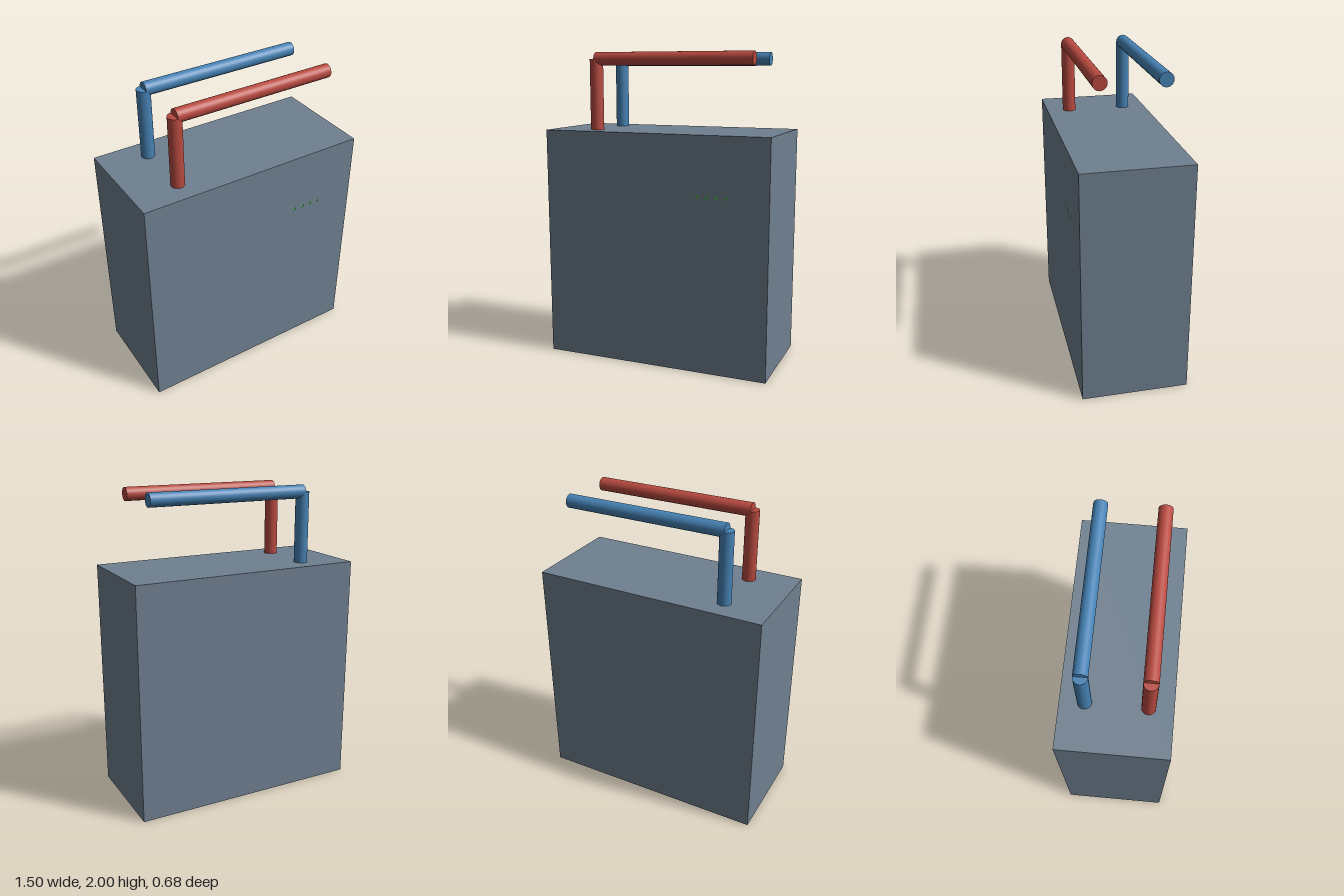
import * as THREE from 'three';

export function createModel() {
  const model = new THREE.Group();
  const paint = (color) => new THREE.MeshStandardMaterial({ color });
  const add = (parent, name, geometry, material, x, y, z) => {
    const mesh = new THREE.Mesh(geometry, material);
    mesh.name = name;
    mesh.position.set(x, y, z);
    parent.add(mesh);
    return mesh;
  };

  // Plain rectangular cabinet
  const height = 1.505, depth = 0.675, midZ = -0.0035;
  add(model, 'cabinet', new THREE.BoxGeometry(1.5, height, depth), paint(0x708090), 0, height / 2, midZ);

  // Two pipes: a riser out of the top, then a long horizontal run
  const radius = 0.043, riserX = -0.454, endX = 0.6, pipeY = 2 - radius;
  const addPipe = (name, color, z) => {
    const pipe = new THREE.Group();
    pipe.name = name;
    const material = paint(color);
    const rise = pipeY - height, run = endX - riserX;
    add(pipe, name + 'Riser', new THREE.CylinderGeometry(radius, radius, rise, 32),
      material, riserX, height + rise / 2, z);
    const across = add(pipe, name + 'Run', new THREE.CylinderGeometry(radius, radius, run, 32),
      material, riserX + run / 2, pipeY, z);
    across.rotation.z = Math.PI / 2;
    model.add(pipe);
  };
  addPipe('hotPipe', 0xb84a40, midZ + 0.1875);
  addPipe('coldPipe', 0x4682b4, midZ - 0.1875);

  // Row of small indicator lights just off the front panel
  const lightMaterial = paint(0x4caf50);
  lightMaterial.side = THREE.DoubleSide;
  const lightGeometry = new THREE.PlaneGeometry(0.019, 0.019);
  for (let i = 0; i < 4; i++) {
    add(model, 'indicatorLight' + (i + 1), lightGeometry, lightMaterial, 0.3 + i * 0.06, 1.13, 0.341);
  }
  return model;
}
